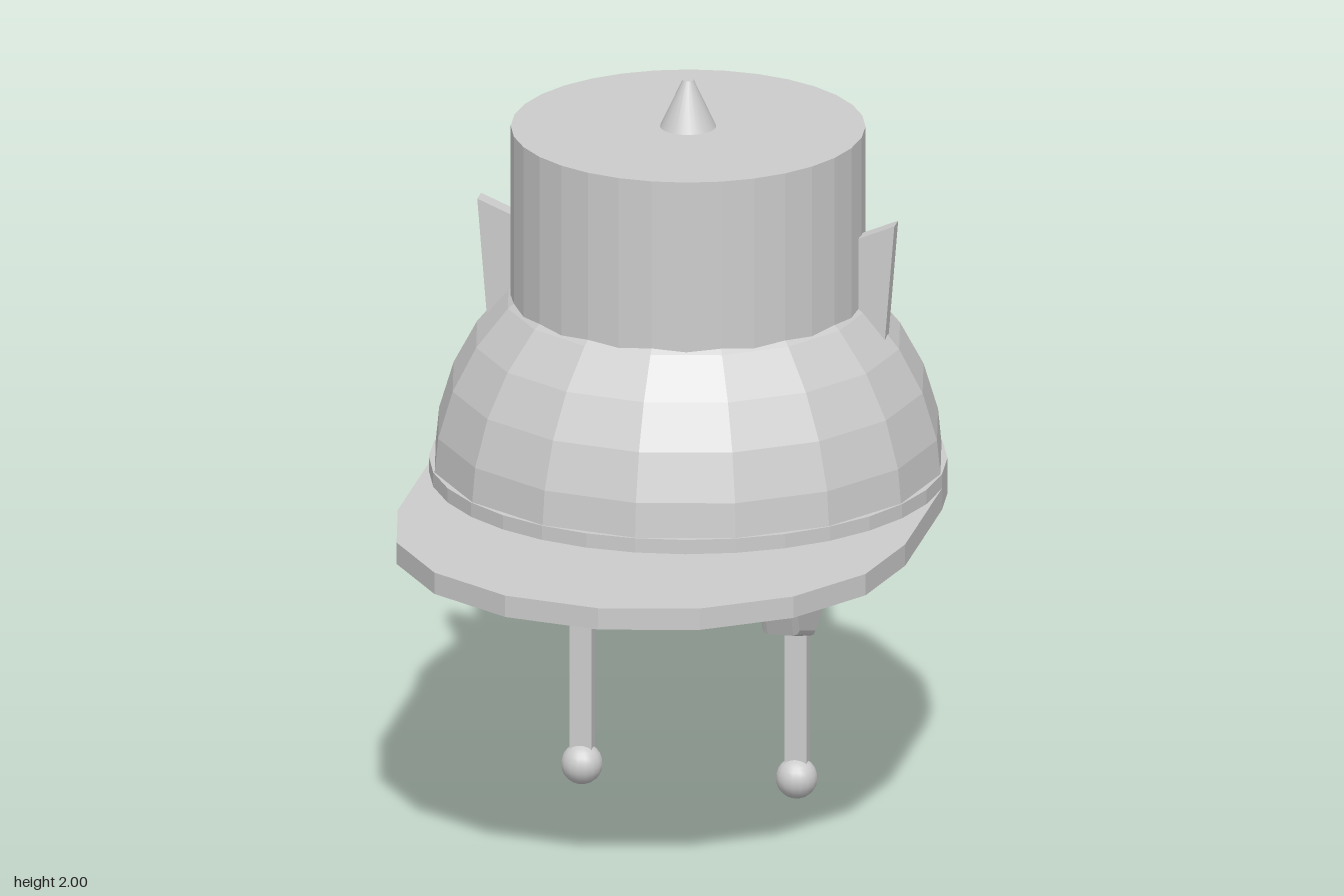
import * as THREE from 'three';

const AXIS_Z = -0.24; // body axis

export function createModel() {
  const model = new THREE.Group();
  model.name = 'hatRobot';
  const grey = new THREE.MeshStandardMaterial({ color: 0xcccccc });
  grey.name = 'lightGrey';

  const add = (name, geometry, x, y, z, flat = true) => {
    let g = geometry;
    if (flat) {
      g = geometry.index ? geometry.toNonIndexed() : geometry;
      g.computeVertexNormals();
    }
    const mesh = new THREE.Mesh(g, grey);
    mesh.name = name;
    mesh.position.set(x, y, z);
    model.add(mesh);
    return mesh;
  };
  const shapeOf = (points) => new THREE.Shape(points.map(([a, b]) => new THREE.Vector2(a, b)));

  // Faceted dome, round base ring and crown
  add('dome', new THREE.SphereGeometry(0.69, 16, 8, 0, Math.PI * 2, 0, Math.PI / 2), 0, 0.9, AXIS_Z);
  add('baseRing', new THREE.CylinderGeometry(0.69, 0.69, 0.1, 32), 0, 0.89, AXIS_Z);
  add('crown', new THREE.CylinderGeometry(0.472, 0.472, 0.57, 32), 0, 1.585, AXIS_Z);
  add('topSpike', new THREE.CylinderGeometry(0.015, 0.075, 0.13, 24), 0, 1.935, AXIS_Z, false);

  // Visor: half of a 16-sided disc with straight sides running back
  const visorPoints = [[0.69, -AXIS_Z]];
  for (let i = 0; i <= 8; i++) {
    const a = (i / 8) * Math.PI;
    visorPoints.push([0.69 * Math.cos(a), -0.235 - 0.69 * Math.sin(a)]);
  }
  visorPoints.push([-0.69, -AXIS_Z]);
  const visor = new THREE.ExtrudeGeometry(shapeOf(visorPoints), { depth: 0.06, bevelEnabled: false });
  visor.rotateX(-Math.PI / 2);
  add('visor', visor, 0, 0.84, 0);

  // Hexagonal plug under the base
  add('bottomPlug', new THREE.CylinderGeometry(0.06, 0.06, 0.04, 6, 1, false, Math.PI / 2), 0, 0.83, AXIS_Z);

  for (const side of [1, -1]) {
    const prefix = side > 0 ? 'left' : 'right';

    // Slanted ear fin
    const fin = new THREE.ExtrudeGeometry(
      shapeOf([[0.42, 1.3], [0.54, 1.3], [0.567, 1.637], [0.42, 1.575]].map(([x, y]) => [x * side, y])),
      { depth: 0.05, bevelEnabled: false });
    add(prefix + 'EarFin', fin, 0, 0, -0.26);

    // Hip plate with bevelled edges, profile in (z, y)
    const hip = new THREE.ExtrudeGeometry(
      shapeOf([[0.09, 0.85], [-0.055, 0.538], [-0.26, 0.471], [-0.472, 0.538], [-0.55, 0.85]]),
      { depth: 0.07, bevelEnabled: true, bevelThickness: 0.015, bevelSize: 0.015, bevelSegments: 2 });
    hip.translate(0, 0, -0.035);
    hip.rotateY(-Math.PI / 2);
    add(prefix + 'Hip', hip, 0.292 * side, 0, 0);

    // Leg rod and ball foot
    add(prefix + 'Leg', new THREE.BoxGeometry(0.06, 0.42, 0.04), 0.292 * side, 0.29, -0.26);
    add(prefix + 'Foot', new THREE.SphereGeometry(0.056, 16, 12), 0.292 * side, 0.056, -0.255, false);
  }
  return model;
}
